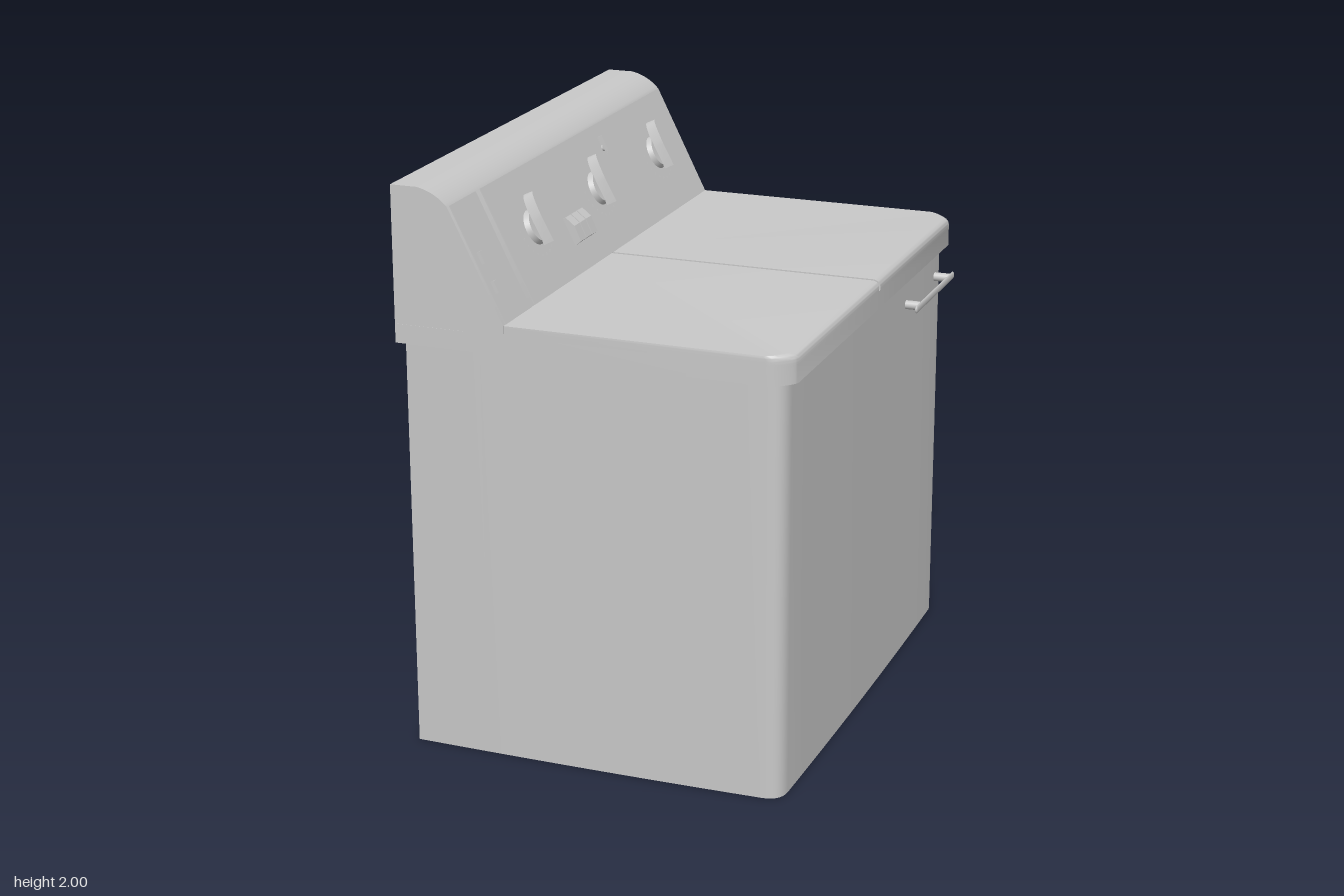
import * as THREE from 'three';
import { toCreasedNormals } from 'three/addons/utils/BufferGeometryUtils.js';

const enamel = new THREE.MeshStandardMaterial({ color: 0xc8c8c8 });
enamel.name = 'enamel grey';

function add(parent, name, geometry, x = 0, y = 0, z = 0) {
  const mesh = new THREE.Mesh(geometry, enamel);
  mesh.name = name;
  mesh.position.set(x, y, z);
  parent.add(mesh);
  return mesh;
}

// Plan outline with rounded corners at +x, extruded upwards; z0 and z1 limit it
function slab(shape, y0, y1, steps = 1) {
  const g = new THREE.ExtrudeGeometry(shape, { depth: y1 - y0, steps, bevelEnabled: false, curveSegments: 10 });
  g.rotateX(-Math.PI / 2);
  g.translate(0, y0, 0);
  return g;
}

function cabinetShape() {
  const s = new THREE.Shape();
  s.moveTo(-0.69, -0.9);
  s.quadraticCurveTo(0, -0.918, 0.58, -0.905);
  s.quadraticCurveTo(0.643, -0.9, 0.645, -0.835);
  s.quadraticCurveTo(0.659, 0, 0.645, 0.835);
  s.quadraticCurveTo(0.643, 0.9, 0.58, 0.905);
  s.quadraticCurveTo(0, 0.918, -0.69, 0.9);
  s.closePath();
  return s;
}

function lidShape(back, halfGap) {
  const s = new THREE.Shape();
  s.moveTo(back, halfGap);
  s.lineTo(0.675, halfGap);
  s.lineTo(0.675, 0.86);
  s.bezierCurveTo(0.673, 0.885, 0.62, 0.933, 0.59, 0.935);
  s.lineTo(back, 0.935);
  s.closePath();
  return s;
}

// Round the upper front edge of a lid half
function roundFront(g) {
  const p = g.attributes.position;
  for (let i = 0; i < p.count; i++) {
    const t = Math.min(1, Math.max(0, (p.getY(i) - 1.535) / 0.025));
    const w = Math.max(0, (p.getX(i) - 0.5) / 0.175);
    p.setX(i, p.getX(i) - w * 0.022 * (1 - Math.sqrt(1 - t * t)));
  }
  return g;
}

// Extrude an (x, y) profile across z, centred
function across(shape, width) {
  const g = new THREE.ExtrudeGeometry(shape, { depth: width, bevelEnabled: false, curveSegments: 10 });
  return g.translate(0, 0, -width / 2);
}

// Selector knob: dial, tapered grip and a ring of tick dots
function knob() {
  const k = new THREE.Group();
  k.name = 'selectorKnob';
  add(k, 'dial', new THREE.CylinderGeometry(0.056, 0.063, 0.018, 32).rotateX(Math.PI / 2), 0, 0, 0.009);
  const s = new THREE.Shape();
  s.moveTo(-0.02, -0.068);
  s.lineTo(0.02, -0.068);
  s.lineTo(0.027, 0.02);
  s.quadraticCurveTo(0.024, 0.112, 0, 0.114);
  s.quadraticCurveTo(-0.024, 0.112, -0.027, 0.02);
  s.closePath();
  const grip = new THREE.ExtrudeGeometry(s, { depth: 0.036, bevelEnabled: false, curveSegments: 8 });
  const p = grip.attributes.position;
  for (let i = 0; i < p.count; i++) if (p.getZ(i) > 0.01) p.setX(i, p.getX(i) * 0.65);
  add(k, 'grip', toCreasedNormals(grip, 0.6), 0, 0, 0.016);
  for (let i = 0; i < 13; i++) {
    const a = Math.PI * (0.97 + (i / 12) * 1.06);
    add(k, 'tickDot', new THREE.BoxGeometry(0.006, 0.006, 0.004), Math.cos(a) * 0.105, Math.sin(a) * 0.1, 0.001);
  }
  return k;
}

export function createModel() {
  const model = new THREE.Group();
  model.name = 'twinTubWasher';

  // Cabinet
  add(model, 'cabinet', toCreasedNormals(slab(cabinetShape(), 0, 1.48), 0.7));

  // Top deck and the two lids, parted by a narrow groove
  for (const side of [1, -1]) {
    const deck = lidShape(-0.7, 0);
    const lid = lidShape(-0.4, 0.007);
    const mirror = (shape) => side > 0 ? shape
      : new THREE.Shape(shape.getPoints(10).map((v) => new THREE.Vector2(v.x, -v.y)).reverse());
    add(model, 'deck', toCreasedNormals(slab(mirror(deck), 1.46, 1.525), 0.7));
    add(model, 'lid', toCreasedNormals(roundFront(slab(mirror(lid), 1.525, 1.56, 7)), 0.7));
    add(model, 'sideSeam', new THREE.BoxGeometry(0.25, 0.005, 0.004), -0.58, 1.524, side * 0.935);
  }

  // Control console
  const s = new THREE.Shape();
  s.moveTo(-0.71, 1.46);
  s.lineTo(-0.32, 1.46);
  s.lineTo(-0.317, 1.56);
  s.lineTo(-0.508, 1.942);
  s.quadraticCurveTo(-0.55, 1.988, -0.615, 2);
  s.lineTo(-0.71, 2);
  s.closePath();
  add(model, 'console', toCreasedNormals(across(s, 1.872), 0.35));

  // Sloping panel frame: local y runs up the slope, local z points outwards
  const panel = new THREE.Group();
  panel.name = 'controlPanel';
  panel.position.set(-0.317, 1.56, 0);
  panel.quaternion.setFromRotationMatrix(new THREE.Matrix4().makeBasis(
    new THREE.Vector3(0, 0, -1),
    new THREE.Vector3(-1, 2, 0).normalize(),
    new THREE.Vector3(2, 1, 0).normalize()));
  model.add(panel);
  const up = (y) => (y - 1.56) * 1.118;

  // Fascia plates
  add(panel, 'smallFascia', new THREE.BoxGeometry(0.2, up(1.942), 0.004), -0.82, up(1.942) / 2, 0.001);
  add(panel, 'mainFascia', new THREE.BoxGeometry(1.615, up(1.942), 0.004), 0.1225, up(1.942) / 2, 0.001);

  for (const z of [0.455, -0.105, -0.67]) {
    const k = knob();
    k.position.set(-z, up(1.76), 0.003);
    panel.add(k);
  }

  // Row of piano-style push buttons
  const b = new THREE.Shape();
  b.moveTo(0, -0.052);
  b.lineTo(0.028, -0.046);
  b.lineTo(0.03, 0.012);
  b.lineTo(0.012, 0.05);
  b.lineTo(0, 0.05);
  b.closePath();
  for (let i = 0; i < 3; i++) {
    const button = across(b, 0.046).rotateY(-Math.PI / 2);
    add(panel, 'pushButton', button, -0.216 + i * 0.051, up(1.69), 0.002);
  }

  // Indicator lamps
  for (const y of [1.765, 1.67]) {
    add(panel, 'indicatorLamp', new THREE.BoxGeometry(0.026, 0.042, 0.014), -0.88, up(y), 0.008);
  }

  // Small toggle with its marks
  add(panel, 'toggleBase', new THREE.CylinderGeometry(0.013, 0.013, 0.008, 16).rotateX(Math.PI / 2), 0.28, up(1.862), 0.006);
  add(panel, 'toggleLever', new THREE.BoxGeometry(0.012, 0.056, 0.02), 0.28, up(1.876), 0.012);
  for (const [dx, y] of [[-0.015, 1.845], [0.012, 1.838], [0.024, 1.845]]) {
    add(panel, 'toggleMark', new THREE.BoxGeometry(0.006, 0.008, 0.004), 0.28 + dx, up(y), 0.002);
  }

  // Towel-bar handle on two posts
  const bar = new THREE.CapsuleGeometry(0.014, 0.462, 6, 16).rotateX(Math.PI / 2).scale(0.4, 1, 1);
  add(model, 'handleBar', bar, 0.703, 1.355, -0.597);
  for (const z of [-0.41, -0.79]) {
    add(model, 'handlePost', new THREE.CylinderGeometry(0.016, 0.016, 0.07, 20).rotateZ(Math.PI / 2), 0.668, 1.355, z);
  }
  return model;
}
